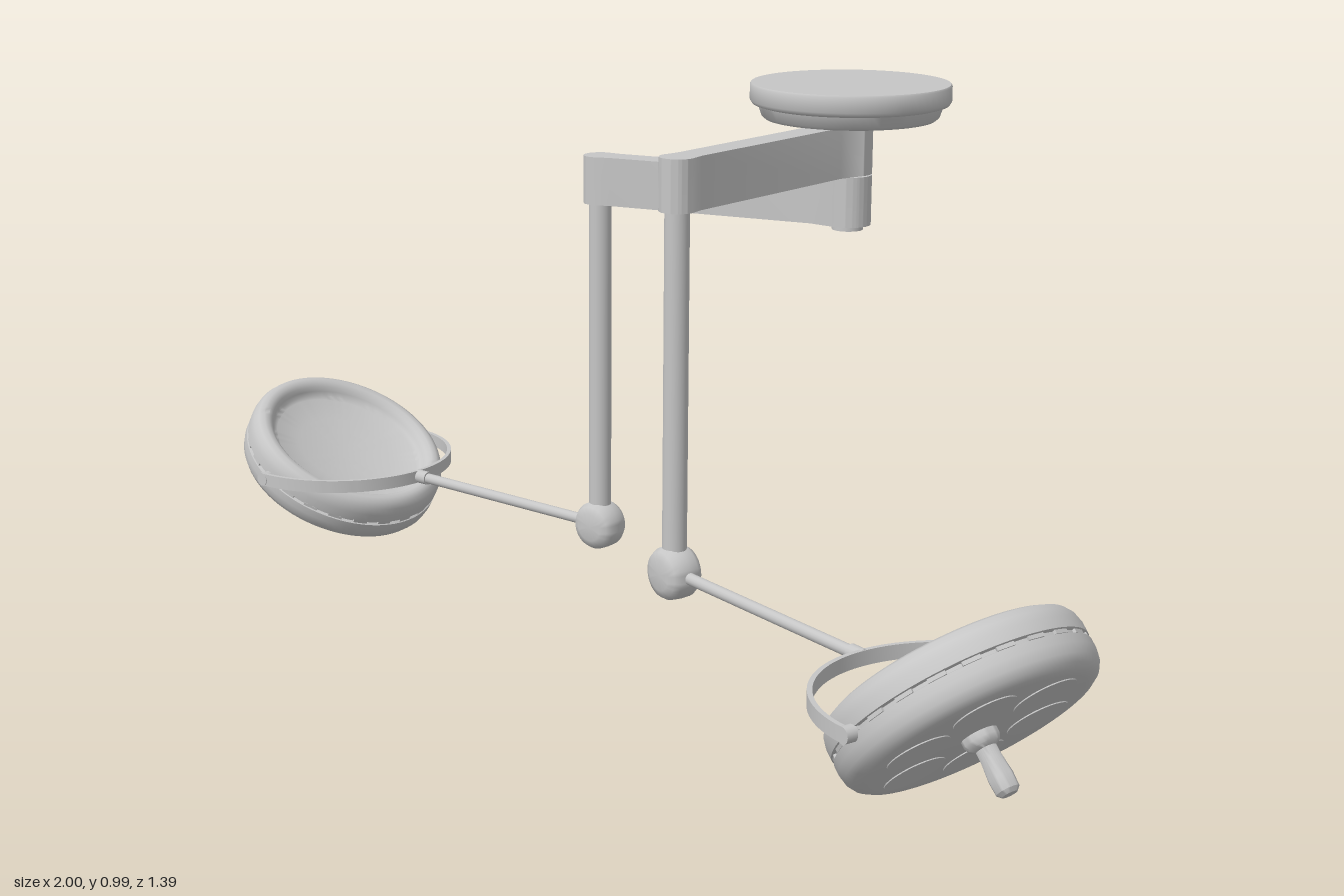
import * as THREE from 'three';
import { toCreasedNormals } from 'three/addons/utils/BufferGeometryUtils.js';

export function createModel() {
  const model = new THREE.Group();
  model.name = 'twinCeilingLamp';
  const grey = new THREE.MeshStandardMaterial({ color: 0xc6c6c6 });
  grey.name = 'satinGrey';

  function add(parent, name, geometry, x = 0, y = 0, z = 0) {
    const mesh = new THREE.Mesh(geometry, grey);
    mesh.name = name;
    mesh.position.set(x, y, z);
    parent.add(mesh);
    return mesh;
  }
  const lathe = (pts, sides = 64) => toCreasedNormals(
    new THREE.LatheGeometry(pts.map(([r, y]) => new THREE.Vector2(r, y)), sides), 0.75);
  const rod = (r, h, sides = 24) => new THREE.CylinderGeometry(r, r, h, sides);
  const slab = (shape, depth) => {
    const g = new THREE.ExtrudeGeometry(shape, { depth, bevelEnabled: false, curveSegments: 32 });
    return toCreasedNormals(g.rotateX(-Math.PI / 2), 0.75);
  };

  // Ceiling plate and the shared pivot column
  const px = 0.335, pz = -0.308;
  add(model, 'ceilingPlate', lathe([[0, 0.929], [0.146, 0.929], [0.152, 0.934], [0.158, 0.952],
    [0.168, 0.955], [0.172, 0.961], [0.172, 0.987], [0.17, 0.99], [0, 0.99]]), px, 0, pz);
  add(model, 'pivotColumn', rod(0.027, 0.2), px, 0.836, pz);

  // Tapered arm with rounded ends, running along +x from its pivot
  function armShape(length) {
    const s = new THREE.Shape();
    s.moveTo(0.06, -0.025);
    s.lineTo(length - 0.03, -0.025);
    s.absarc(length, 0, 0.03, -Math.PI / 2, Math.PI / 2);
    s.lineTo(length - 0.03, 0.025);
    s.lineTo(0.06, 0.025);
    s.lineTo(0.012, 0.038);
    s.absarc(0, 0, 0.04, 1.27, Math.PI * 2 - 1.27);
    s.closePath();
    return s;
  }

  // Lamp head profile: flat lens face below, grooved rim, shallow dish above
  const headProfile = [[0, -0.053], [0.168, -0.053], [0.182, -0.051], [0.193, -0.044], [0.2, -0.033],
    [0.203, -0.018], [0.203, -0.004], [0.197, -0.002], [0.197, 0.003], [0.203, 0.005], [0.203, 0.022],
    [0.2, 0.036], [0.193, 0.047], [0.183, 0.052], [0.173, 0.051], [0.165, 0.045], [0.16, 0.037],
    [0.156, 0.029], [0.148, 0.025], [0.1, 0.015], [0.05, 0.009], [0, 0.007]];
  const handleProfile = [[0, -0.147], [0.012, -0.147], [0.018, -0.141], [0.019, -0.12],
    [0.016, -0.09], [0.016, -0.075], [0.024, -0.07], [0.028, -0.062], [0.028, -0.052], [0, -0.052]];

  function addLampHead(parent, x, tilt) {
    const head = new THREE.Group();
    head.name = 'lampHead';
    head.position.x = x;
    head.rotation.z = tilt;
    parent.add(head);
    add(head, 'lampBody', lathe(headProfile, 96));
    add(head, 'handle', lathe(handleProfile, 32));
    // Ring of lenses around the handle
    for (let i = 0; i < 6; i++) {
      const a = (i + 0.5) * Math.PI / 3;
      add(head, 'lens', rod(0.049, 0.003, 32), Math.cos(a) * 0.113, -0.0532, Math.sin(a) * 0.113);
    }
    // Small vents set in the rim groove
    for (let i = 0; i < 24; i++) {
      const a = i * Math.PI / 12;
      const vent = add(head, 'rimVent', new THREE.BoxGeometry(0.006, 0.006, 0.028),
        Math.cos(a) * 0.198, 0.0005, Math.sin(a) * 0.198);
      vent.rotation.y = -a;
    }
  }

  // Rounded hinge knuckle, turned about its own axis
  const knuckleProfile = [[0, -0.032], [0.026, -0.032], [0.038, -0.027], [0.044, -0.017], [0.045, 0],
    [0.044, 0.017], [0.038, 0.027], [0.026, 0.032], [0, 0.032]];

  function addBranch(name, o) {
    const branch = new THREE.Group();
    branch.name = name;
    model.add(branch);

    // Horizontal arm and vertical drop post
    const dx = o.x - px, dz = o.z - pz;
    const arm = add(branch, 'horizontalArm', slab(armShape(Math.hypot(dx, dz)), 0.087), px, o.armY, pz);
    arm.rotation.y = Math.atan2(-dz, dx);
    const postHeight = o.armY + 0.01 - o.y;
    add(branch, 'dropPost', rod(0.0205, postHeight), o.x, o.y + postHeight / 2, o.z);

    // Lamp assembly, local +x pointing away from the post
    const lamp = new THREE.Group();
    lamp.name = 'lampAssembly';
    lamp.position.set(o.x, o.y, o.z);
    lamp.rotation.y = Math.atan2(-o.dir[1], o.dir[0]);
    branch.add(lamp);
    add(lamp, 'hingeKnuckle', lathe(knuckleProfile, 40)).rotation.x = Math.PI / 2;

    // Thin rod out to the half-ring yoke
    const reach = 0.694, ring = 0.216;
    add(lamp, 'lampRod', rod(0.01, reach - ring, 16), (reach - ring) / 2).rotation.z = Math.PI / 2;
    add(lamp, 'rodSocket', rod(0.013, 0.03, 16), reach - ring - 0.013).rotation.z = Math.PI / 2;
    const band = new THREE.Shape();
    band.absarc(0, 0, ring + 0.004, Math.PI / 2, Math.PI * 1.5);
    band.absarc(0, 0, ring - 0.004, Math.PI * 1.5, Math.PI / 2, true);
    band.closePath();
    add(lamp, 'yoke', slab(band, 0.024), reach, -0.012, 0);
    for (const s of [-1, 1])
      add(lamp, 'yokePivot', rod(0.013, 0.026, 20), reach, 0, s * 0.208).rotation.x = Math.PI / 2;

    addLampHead(lamp, reach, o.tilt);
  }

  addBranch('frontBranch', { x: 0.216, y: 0.233, z: 0.148, armY: 0.834, dir: [0.868, 0.497], tilt: 0.785 });
  addBranch('sideBranch', { x: -0.138, y: 0.137, z: -0.305, armY: 0.745, dir: [-0.966, -0.26], tilt: 0.515 });
  return model;
}
